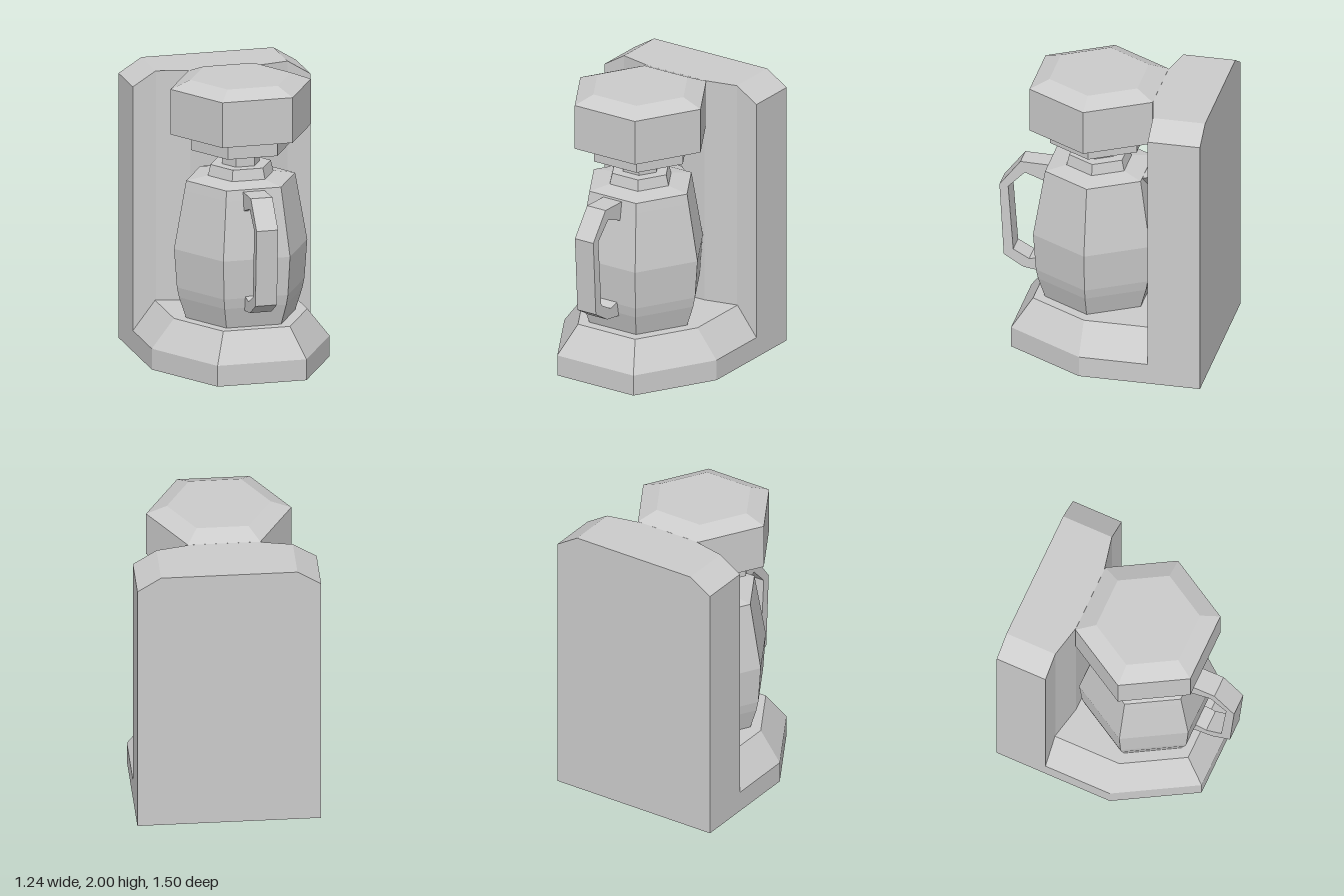
import * as THREE from 'three';
import { ConvexGeometry } from 'three/addons/geometries/ConvexGeometry.js';

const CZ = 0.085; // z of the hexagonal axis shared by head, jug and base

export function createModel() {
  const model = new THREE.Group();
  model.name = 'coffeeMaker';
  const material = new THREE.MeshStandardMaterial({ color: 0xcccccc, flatShading: true });

  const add = (name, geometry, parent = model) => {
    const mesh = new THREE.Mesh(geometry, material);
    mesh.name = name;
    parent.add(mesh);
    return mesh;
  };

  // Six-sided turned solid from [radius, y] pairs, bottom to top, flat side forward
  const hex = (name, profile, parent) => {
    const points = profile.map(([r, y]) => new THREE.Vector2(r, y));
    const mesh = add(name, new THREE.LatheGeometry(points, 6, Math.PI / 2), parent);
    mesh.position.z = CZ;
    return mesh;
  };

  // Closed solid through equal-length [x, z] outlines at given heights
  const loft = (levels) => {
    const pos = [];
    const n = levels[0].outline.length;
    const put = (level, i) => {
      const [x, z] = level.outline[i % n];
      pos.push(x, level.y, z);
    };
    for (let k = 0; k < levels.length - 1; k++) {
      const a = levels[k], b = levels[k + 1];
      for (let i = 0; i < n; i++) {
        put(a, i); put(a, i + 1); put(b, i + 1);
        put(a, i); put(b, i + 1); put(b, i);
      }
    }
    const top = levels[levels.length - 1];
    for (let i = 1; i < n - 1; i++) {
      put(top, 0); put(top, i); put(top, i + 1);
      put(levels[0], 0); put(levels[0], i + 1); put(levels[0], i);
    }
    const g = new THREE.BufferGeometry();
    g.setAttribute('position', new THREE.Float32BufferAttribute(pos, 3));
    g.computeVertexNormals();
    return g;
  };

  const extrude = (points, depth) => new THREE.ExtrudeGeometry(
    new THREE.Shape(points.map(([x, y]) => new THREE.Vector2(x, y))),
    { depth, bevelEnabled: false });

  // Base: half hexagon in front, straight sides running back to the tower
  const baseOutline = (r) => [
    [-r, -0.39], [-r, CZ], [-r / 2, CZ + r * 0.866],
    [r / 2, CZ + r * 0.866], [r, CZ], [r, -0.39],
  ];
  add('base', loft([
    { y: 0, outline: baseOutline(0.62) },
    { y: 0.145, outline: baseOutline(0.62) },
    { y: 0.345, outline: baseOutline(0.465) },
  ]));

  // Rear tower with chamfered top corners
  const tower = extrude(
    [[-0.62, 0], [0.62, 0], [0.62, 1.845], [0.46, 1.945], [-0.46, 1.945], [-0.62, 1.845]], 0.36);
  tower.translate(0, 0, -0.75);
  add('tower', tower);

  // Shallow raised panel on the tower front
  const panel = [[-0.46, -0.39], [-0.23, -0.34], [0.23, -0.34], [0.46, -0.39]];
  add('towerPanel', loft([{ y: 0.1, outline: panel }, { y: 1.945, outline: panel }]));

  // Brewing head and filter holder
  hex('brewHead', [[0, 1.63], [0.49, 1.63], [0.49, 1.945], [0.35, 2], [0, 2]]);
  hex('filterHolder', [[0, 1.475], [0.13, 1.475], [0.345, 1.51], [0.345, 1.64], [0, 1.64]]);

  // Jug
  const jug = new THREE.Group();
  jug.name = 'jug';
  model.add(jug);
  hex('jugBody', [
    [0, 0.34], [0.38, 0.34], [0.43, 0.49], [0.445, 0.56], [0.465, 0.83],
    [0.393, 1.23], [0.38, 1.3], [0.23, 1.325], [0, 1.325],
  ], jug);
  hex('jugLid', [[0, 1.32], [0.23, 1.32], [0.21, 1.4], [0, 1.4]], jug);
  hex('lidKnob', [[0, 1.39], [0.13, 1.39], [0.13, 1.48], [0, 1.48]], jug);

  // Handle drawn as a [z, y] side profile, given width across x
  const handle = extrude([
    [0.38, 1.285], [0.61, 1.29], [0.755, 1.1], [0.725, 0.57], [0.59, 0.488], [0.43, 0.465],
    [0.43, 0.58], [0.55, 0.555], [0.66, 0.615], [0.695, 1.09], [0.58, 1.21], [0.4, 1.145],
  ], 0.15);
  handle.translate(0, 0, -0.075);
  handle.rotateY(-Math.PI / 2);
  add('jugHandle', handle, jug);

  // Pouring spout facing the tower
  add('jugSpout', new ConvexGeometry([
    new THREE.Vector3(-0.15, 1.3, -0.235), new THREE.Vector3(0.15, 1.3, -0.235),
    new THREE.Vector3(-0.04, 1.275, -0.345), new THREE.Vector3(0.04, 1.275, -0.345),
    new THREE.Vector3(0, 1.15, -0.25),
  ]), jug);

  return model;
}
